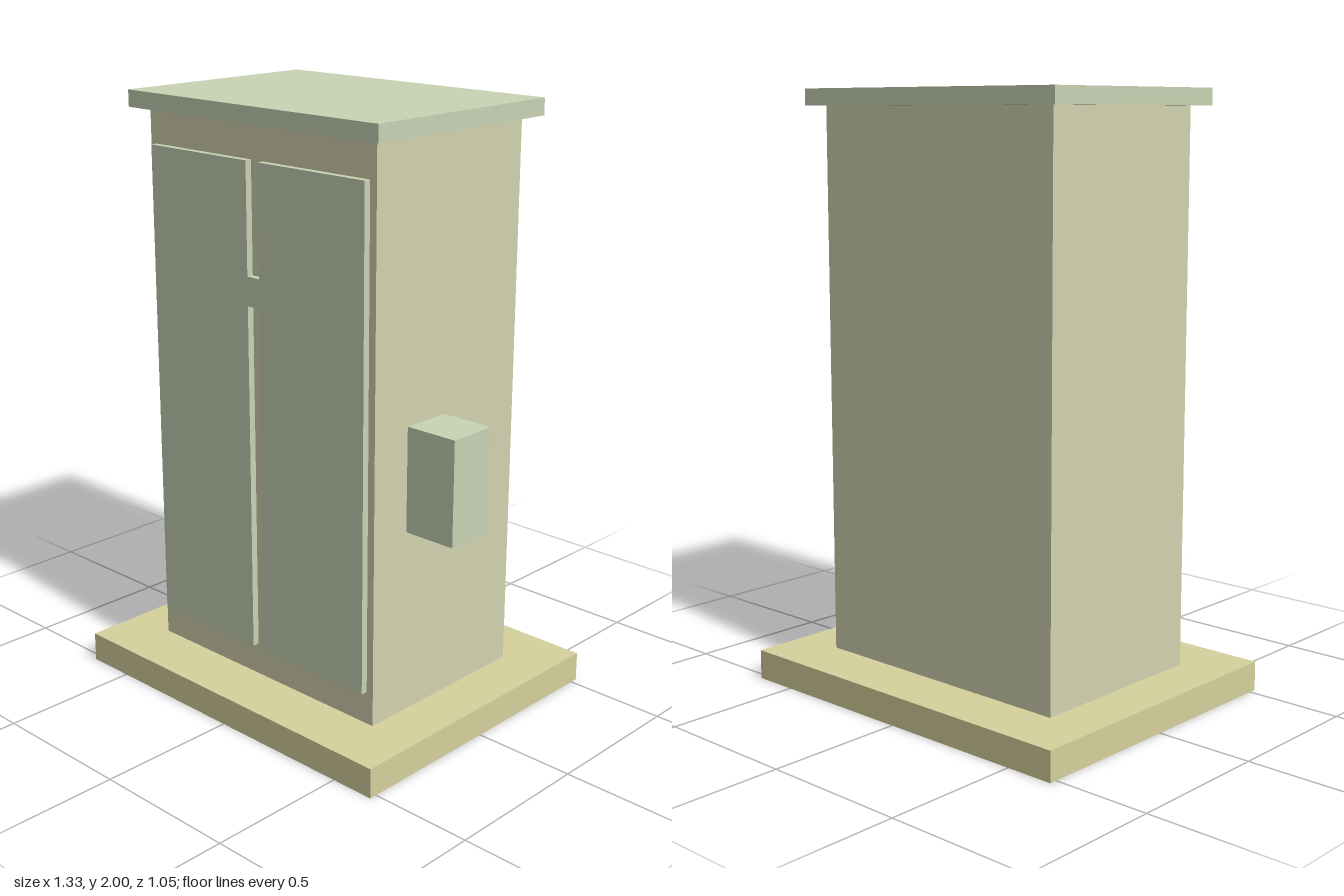
import * as THREE from 'three';

const material = (color) => new THREE.MeshStandardMaterial({ color });

// Box given by its minimum and maximum corners
function block(name, [x0, y0, z0], [x1, y1, z1], mat) {
  const mesh = new THREE.Mesh(new THREE.BoxGeometry(x1 - x0, y1 - y0, z1 - z0), mat);
  mesh.name = name;
  mesh.position.set((x0 + x1) / 2, (y0 + y1) / 2, (z0 + z1) / 2);
  return mesh;
}

export function createModel() {
  const group = new THREE.Group();
  group.name = 'cabinet';
  const plinthMat = material(0xd8d29e);
  const bodyMat = material(0xd3d4b0);
  const panelMat = material(0xcad4b5);
  const cx = -0.0075; // cabinet axis, offset by the side box

  group.add(
    block('plinth', [cx - 0.66, 0, -0.526], [cx + 0.66, 0.1, 0.526], plinthMat),
    block('body', [cx - 0.49, 0.1, -0.331], [cx + 0.49, 1.945, 0.331], bodyMat),
    block('roof', [cx - 0.538, 1.945, -0.38], [cx + 0.538, 2, 0.38], panelMat),
    block('sideBox', [cx + 0.49, 0.715, 0.012], [0.667, 1.06, 0.183], panelMat),
  );

  // Double doors joined by a latch: one H-shaped panel
  const w = 0.464, gap = 0.026, bottom = 0.21, top = 1.83, latchLow = 1.375, latchHigh = 1.47;
  const right = [
    [gap, latchLow], [gap, bottom], [w, bottom],
    [w, top], [gap, top], [gap, latchHigh],
  ];
  const left = right.map(([x, y]) => [-x, y]).reverse();
  const outline = [...right, ...left].map(([x, y]) => new THREE.Vector2(x, y));
  const doors = new THREE.Mesh(
    new THREE.ExtrudeGeometry(new THREE.Shape(outline), { depth: 0.023, bevelEnabled: false }),
    panelMat,
  );
  doors.name = 'doors';
  doors.position.set(cx, 0, 0.331);
  group.add(doors);

  return group;
}
